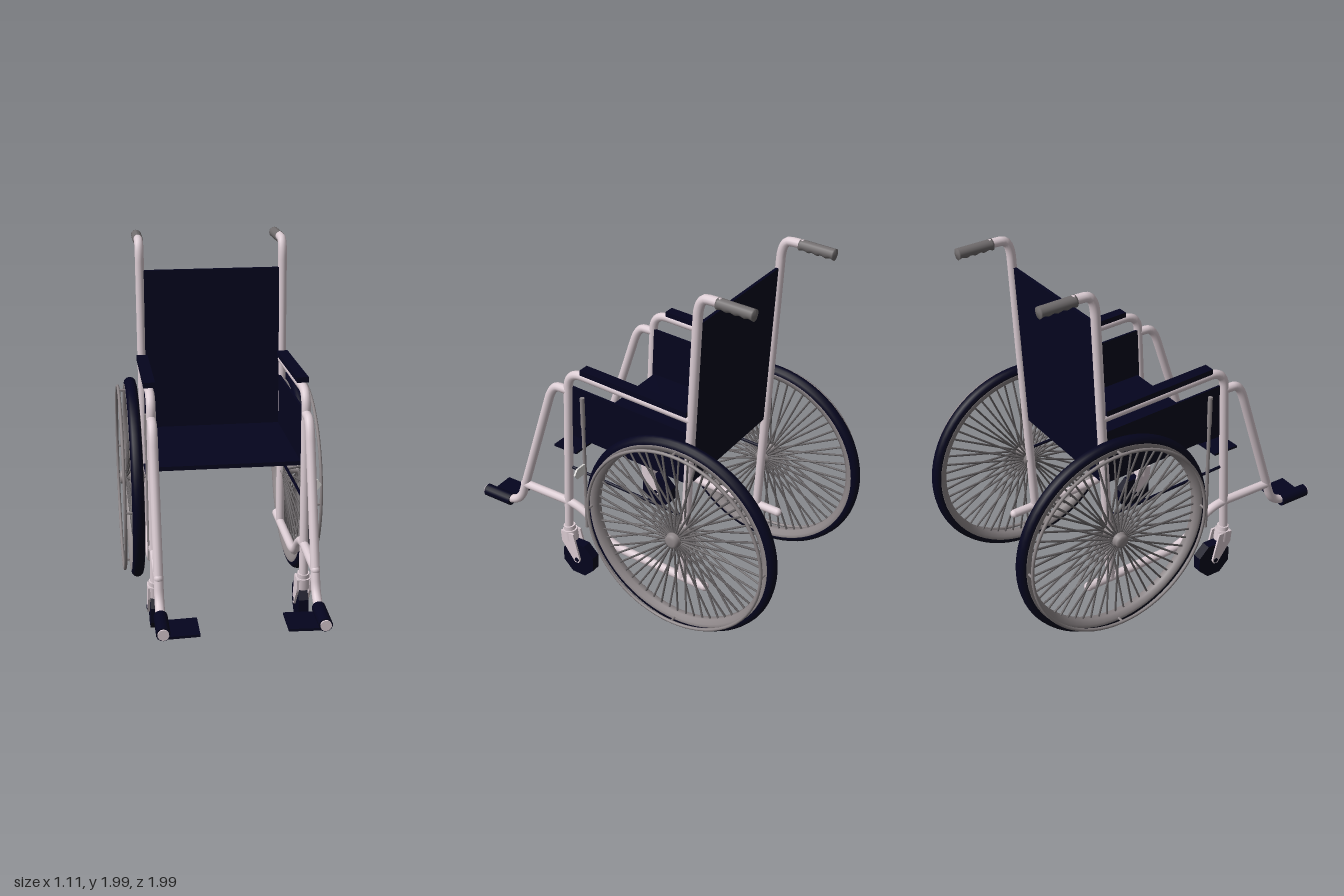
import * as THREE from 'three';
import { mergeGeometries } from 'three/addons/utils/BufferGeometryUtils.js';

const material = (name, color) => {
  const m = new THREE.MeshStandardMaterial({ color });
  m.name = name;
  return m;
};
const V = (x, y, z) => new THREE.Vector3(x, y, z);

// Straight rod between two points
function rod(a, b, r, sides = 10) {
  const d = b.clone().sub(a);
  const g = new THREE.CylinderGeometry(r, r, d.length(), sides);
  g.applyQuaternion(new THREE.Quaternion().setFromUnitVectors(V(0, 1, 0), d.normalize()));
  const m = a.clone().add(b).multiplyScalar(0.5);
  return g.translate(m.x, m.y, m.z);
}

// Bent pipe through [z, y] corners at a fixed x, with rounded bends and ends
function pipe(x, corners, r, bend = 0.09) {
  const p = corners.map(([z, y]) => V(x, y, z));
  const path = new THREE.CurvePath();
  let from = p[0];
  for (let i = 1; i < p.length - 1; i++) {
    const toPrev = p[i - 1].clone().sub(p[i]), toNext = p[i + 1].clone().sub(p[i]);
    const a = p[i].clone().addScaledVector(toPrev.clone().normalize(), Math.min(bend, toPrev.length() * 0.45));
    const b = p[i].clone().addScaledVector(toNext.clone().normalize(), Math.min(bend, toNext.length() * 0.45));
    path.add(new THREE.LineCurve3(from, a));
    path.add(new THREE.QuadraticBezierCurve3(a, p[i], b));
    from = b;
  }
  const last = p[p.length - 1];
  path.add(new THREE.LineCurve3(from, last));
  const ends = [p[0], last].map(e => new THREE.SphereGeometry(r, 12, 8).translate(e.x, e.y, e.z));
  return mergeGeometries([new THREE.TubeGeometry(path, 90, r, 12), ...ends]);
}

// Flat outline of [z, y] points with its thickness along x
function plate(x, outline, width) {
  const shape = new THREE.Shape(outline.map(([z, y]) => new THREE.Vector2(z, y)));
  const g = new THREE.ExtrudeGeometry(shape, { depth: width, bevelEnabled: false });
  return g.rotateY(-Math.PI / 2).translate(x + width / 2, 0, 0);
}

const lathe = (points, sides) =>
  new THREE.LatheGeometry(points.map(([r, y]) => new THREE.Vector2(r, y)), sides);

// Handle along -z, smooth on top with finger ridges underneath
function handle() {
  const profile = [[0, 0]];
  for (let i = 0; i <= 24; i++) profile.push([0.029, (i / 24) * 0.2]);
  profile.push([0, 0.204]);
  const g = lathe(profile, 16).rotateX(-Math.PI / 2 - 0.04);
  const p = g.attributes.position;
  for (let i = 0; i < p.count; i++) {
    const t = -p.getZ(i) / 0.2, drop = p.getY(i) + t * 0.008;
    if (drop < -0.005) p.setY(i, p.getY(i) + drop * 0.13 * Math.cos(t * Math.PI * 8));
  }
  g.computeVertexNormals();
  return g;
}

export function createModel() {
  const model = new THREE.Group();
  model.name = 'wheelchair';
  const frame = material('pale frame', 0xdccdd4);
  const navy = material('navy fabric and rubber', 0x04041e);
  const steel = material('grey steel', 0x8c8587);
  const spokeGrey = material('dark spoke grey', 0x676365);
  const gripGrey = material('grip grey', 0x706c6d);
  const leverWhite = material('lever white', 0xd6d4d2);
  const add = (parent, name, geometry, mat) => {
    const m = new THREE.Mesh(geometry, mat);
    m.name = name;
    parent.add(m);
    return m;
  };

  // Sling seat and backrest
  add(model, 'seat', plate(0, [[0.325, 0.935], [0.325, 0.912], [-0.42, 0.878], [-0.42, 0.9]], 0.77), navy);
  add(model, 'backrest', plate(0, [[-0.403, 0.88], [-0.42, 0.88], [-0.463, 1.815], [-0.446, 1.815]], 0.77), navy);

  // Spoked wheel, axis along local y pointing outward
  function bigWheel() {
    const w = new THREE.Group();
    const ring = (r, t, y, sides = 12) =>
      new THREE.TorusGeometry(r, t, sides, 72).rotateX(Math.PI / 2).translate(0, y, 0);
    add(w, 'tyre', ring(0.553, 0.034, 0), navy);
    const section = [[0.55, 0.034], [0.547, 0.036], [0.53, 0.034], [0.51, 0.016],
      [0.51, -0.016], [0.53, -0.034], [0.547, -0.036], [0.55, -0.034]];
    add(w, 'wheelRim', lathe(section, 72), steel);
    add(w, 'pushRim', ring(0.536, 0.009, 0.072, 8), steel);

    // Struts holding the push rim
    const struts = [], spokes = [];
    for (let i = 0; i < 4; i++) {
      const a = (i / 4) * Math.PI * 2, c = Math.cos(a) * 0.536, s = Math.sin(a) * 0.536;
      struts.push(rod(V(c, 0.015, s), V(c, 0.072, s), 0.007, 6));
    }
    add(w, 'pushRimStruts', mergeGeometries(struts), steel);

    // Spokes alternate between the two hub flanges
    for (let i = 0; i < 60; i++) {
      const a = (i / 60) * Math.PI * 2, c = Math.cos(a), s = Math.sin(a);
      const y = i % 2 ? -0.055 : 0.04;
      spokes.push(rod(V(c * 0.03, y, s * 0.03), V(c * 0.512, 0, s * 0.512), 0.006, 6));
    }
    add(w, 'spokes', mergeGeometries(spokes), spokeGrey);
    const hub = [[0, -0.075], [0.025, -0.075], [0.025, -0.065], [0.042, -0.062], [0.042, -0.048], [0.024, -0.042],
      [0.024, 0.03], [0.044, 0.034], [0.044, 0.05], [0.038, 0.054], [0.038, 0.072], [0.024, 0.079], [0, 0.079]];
    add(w, 'hub', lathe(hub, 20), steel);
    return w;
  }

  for (const s of [1, -1]) {
    const side = new THREE.Group();
    side.name = s > 0 ? 'leftSide' : 'rightSide';
    model.add(side);
    const x = 0.405 * s, R = 0.025;

    // Frame pipes
    add(side, 'backPost', pipe(x, [[-0.58, 1.97], [-0.465, 1.97], [-0.437, 1.3], [-0.39, 0.27]], R, 0.11), frame);
    add(side, 'armrestPipe', pipe(x, [[0.38, 0.3], [0.335, 1.325], [-0.435, 1.283]], R, 0.1), frame);
    add(side, 'footrestPipe', pipe(x, [[0.345, 1.205], [0.445, 1.205], [0.735, 0.32], [0.95, 0.312]], R, 0.1), frame);
    add(side, 'lowerRail', pipe(x, [[0.69, 0.472], [0.27, 0.472], [0.1, 0.285], [-0.53, 0.265]], R, 0.13), frame);

    // Handle grip
    add(side, 'handleGrip', handle().translate(x, 1.966, -0.568), gripGrey);

    // Armrest pad and side panel
    add(side, 'armrestPad', plate(x, [[0.235, 1.372], [0.235, 1.342], [-0.42, 1.304], [-0.42, 1.334]], 0.062), navy);
    add(side, 'sidePanel', plate(0.392 * s, [[0.335, 1.23], [0.335, 0.922], [-0.42, 0.88], [-0.42, 1.188]], 0.012), navy);

    // Side strut with a thicker sleeve, and brake rod
    add(side, 'sideStrut', rod(V(0.424 * s, 0.36, 0.235), V(0.424 * s, 1.03, 0.235), 0.01), steel);
    add(side, 'strutSleeve', rod(V(0.424 * s, 1.02, 0.235), V(0.424 * s, 1.2, 0.235), 0.013), steel);
    add(side, 'brakeRod', rod(V(x, 0.715, 0.335), V(x, 0.675, -0.4), 0.008), navy);

    // Footplate folded inward from its sleeve
    add(side, 'footplateSleeve', rod(V(x, 0.313, 0.8), V(x, 0.313, 0.985), 0.036, 14), navy);
    const foot = add(side, 'footplate', new THREE.BoxGeometry(0.19, 0.014, 0.175), navy);
    foot.position.set(0.316 * s, 0.289, 0.89);
    foot.rotation.z = -0.03 * s;
    add(side, 'footplateCap', rod(V(x, 0.313, 0.98), V(x, 0.313, 0.994), 0.029, 14), frame);

    // Caster with its fork
    add(side, 'casterStem', rod(V(x, 0.27, 0.374), V(x, 0.305, 0.378), 0.034, 16), frame);
    add(side, 'casterCrown', rod(V(x, 0.215, 0.366), V(x, 0.28, 0.374), 0.043, 16), frame);
    for (const k of [-1, 1])
      add(side, 'casterFork', plate(x + k * 0.034, [[0.412, 0.275], [0.325, 0.275], [0.283, 0.11], [0.292, 0.088], [0.318, 0.086], [0.405, 0.205]], 0.012), frame);
    const caster = new THREE.CylinderGeometry(0.112, 0.112, 0.054, 8).rotateY(Math.PI / 8).toNonIndexed();
    caster.computeVertexNormals();
    add(side, 'casterWheel', caster.rotateZ(Math.PI / 2).translate(x, 0.106, 0.303), navy);
    add(side, 'casterAxle', rod(V(x - 0.043, 0.108, 0.304), V(x + 0.043, 0.108, 0.304), 0.014), navy);

    // Drive wheel
    const wheel = bigWheel();
    wheel.name = 'driveWheel';
    wheel.position.set(0.473 * s, 0.597, -0.405);
    wheel.rotation.z = -s * Math.PI / 2;
    side.add(wheel);
  }

  // Brake lever on the left strut
  const tip = new THREE.Shape([[0.425, 0.728], [0.5, 0.728], [0.522, 0.758], [0.5, 0.788], [0.425, 0.788]]
    .map(([x, y]) => new THREE.Vector2(x, y)));
  add(model, 'brakeLever', new THREE.ExtrudeGeometry(tip, { depth: 0.01, bevelEnabled: false }).translate(0, 0, 0.228), leverWhite);

  return model;
}
